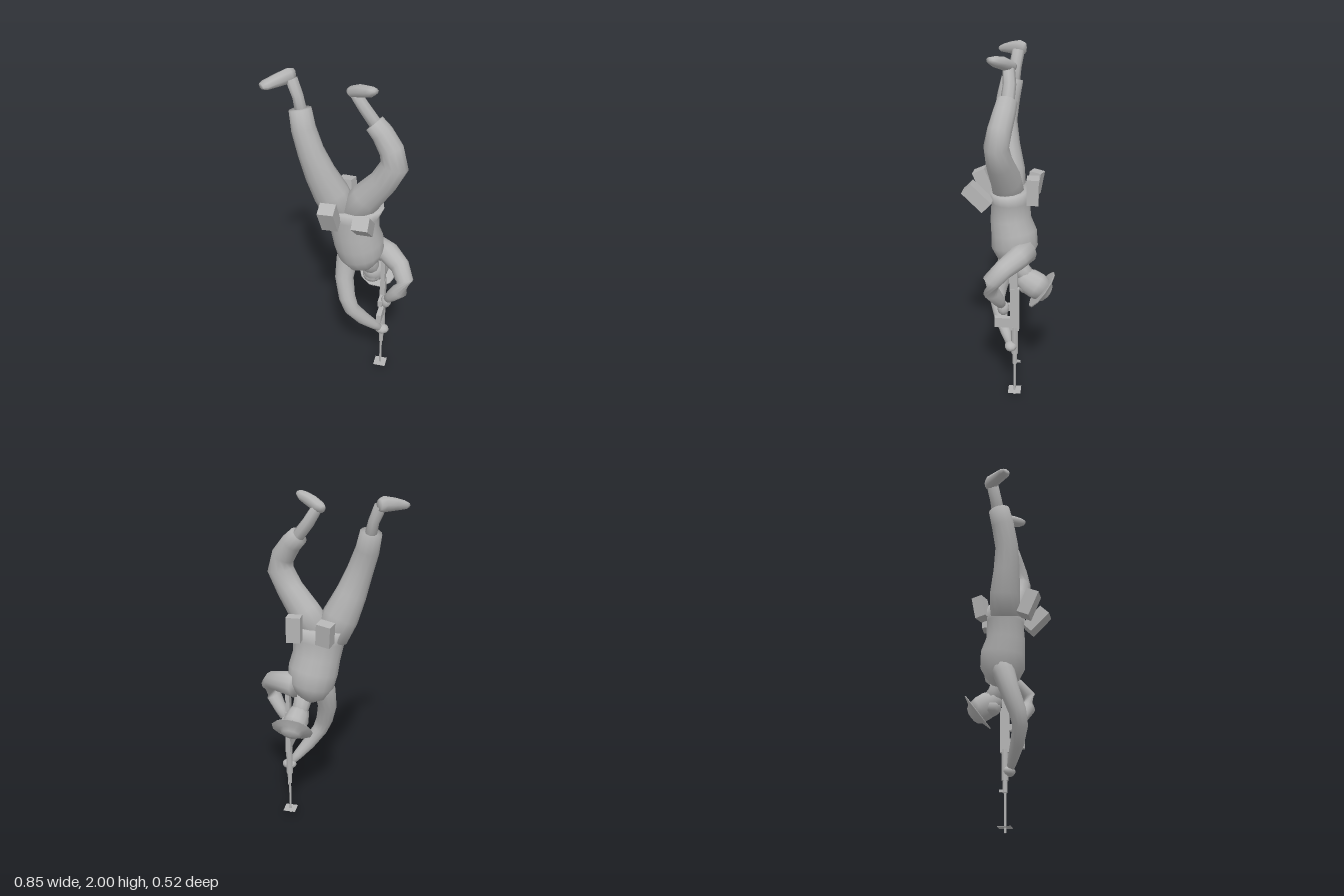
import * as THREE from 'three';

const V = (x, y, z) => new THREE.Vector3(x, y, z);

// Closed skin through elliptical rings [x, y, z, radius along ref, radius across]
function loft(rings, ref, seg = 12) {
  const c = rings.map(r => V(r[0], r[1], r[2]));
  const pos = [], idx = [];
  rings.forEach((r, i) => {
    const t = c[Math.min(i + 1, c.length - 1)].clone().sub(c[Math.max(i - 1, 0)]).normalize();
    const u = ref.clone().addScaledVector(t, -ref.dot(t)).normalize();
    const v = t.clone().cross(u);
    for (let j = 0; j < seg; j++) {
      const a = j / seg * Math.PI * 2;
      const p = c[i].clone().addScaledVector(u, Math.cos(a) * r[3])
        .addScaledVector(v, Math.sin(a) * (r[4] ?? r[3]));
      pos.push(p.x, p.y, p.z);
    }
  });
  const n = rings.length, first = n * seg;
  pos.push(...c[0].toArray(), ...c[n - 1].toArray());
  for (let j = 0; j < seg; j++) {
    const k = (j + 1) % seg;
    for (let i = 0; i < n - 1; i++) {
      const a = i * seg + j, b = i * seg + k;
      idx.push(a, b, a + seg, b, b + seg, a + seg);
    }
    idx.push(first, k, j, first + 1, (n - 1) * seg + j, (n - 1) * seg + k);
  }
  const g = new THREE.BufferGeometry();
  g.setAttribute('position', new THREE.Float32BufferAttribute(pos, 3));
  g.setIndex(idx);
  g.computeVertexNormals();
  return g;
}

export function createModel() {
  const grey = new THREE.MeshStandardMaterial({ color: 0xb4b4b4, side: THREE.DoubleSide });
  grey.name = 'grey';
  const model = new THREE.Group();
  model.name = 'figure';
  const add = (name, geo, p = [0, 0, 0], r = [0, 0, 0], parent = model) => {
    const m = new THREE.Mesh(geo, grey);
    m.name = name;
    m.position.set(...p);
    m.rotation.set(...r);
    parent.add(m);
    return m;
  };
  const X = V(1, 0, 0), Y = V(0, 1, 0), Z = V(0, 0, 1);

  // Jacket, from flared hem to collar
  add('jacket', loft([
    [0.045, 1.25, 0.015, 0.178, 0.112], [0.048, 1.18, 0.01, 0.15, 0.108],
    [0.06, 1.08, 0.01, 0.14, 0.115], [0.075, 1.0, -0.01, 0.146, 0.13],
    [0.09, 0.92, -0.015, 0.138, 0.132], [0.105, 0.86, -0.02, 0.11, 0.1],
    [0.125, 0.825, -0.03, 0.06, 0.06]], X, 16));

  // Trousers
  add('rightLeg', loft([
    [-0.02, 1.2, 0.02, 0.09, 0.1], [-0.075, 1.32, 0.03, 0.09, 0.103],
    [-0.13, 1.45, 0.05, 0.077, 0.087], [-0.175, 1.58, 0.06, 0.068, 0.073],
    [-0.215, 1.7, 0.045, 0.066, 0.066], [-0.236, 1.8, 0.025, 0.062, 0.06]], Z));
  add('leftLeg', loft([
    [0.06, 1.22, 0.02, 0.09, 0.1], [0.13, 1.33, 0.03, 0.085, 0.09],
    [0.22, 1.45, 0.055, 0.073, 0.077], [0.276, 1.56, 0.065, 0.066, 0.076],
    [0.255, 1.64, 0.05, 0.064, 0.066], [0.2, 1.72, 0.03, 0.06, 0.058],
    [0.155, 1.765, 0.02, 0.055, 0.053]], Z));

  // Ankles and boots
  add('rightAnkle', loft([[-0.232, 1.78, 0.02, 0.038, 0.033], [-0.25, 1.86, 0.01, 0.035, 0.03],
    [-0.285, 1.945, -0.005, 0.035, 0.033]], Z, 8));
  add('leftAnkle', loft([[0.17, 1.75, 0.02, 0.038, 0.035], [0.1, 1.84, 0.012, 0.035, 0.033],
    [0.055, 1.915, 0.02, 0.032, 0.03]], Z, 8));
  add('rightBoot', loft([
    [-0.285, 1.957, -0.04, 0.032, 0.02], [-0.3, 1.957, -0.015, 0.042, 0.038],
    [-0.35, 1.948, 0.04, 0.034, 0.036], [-0.395, 1.938, 0.085, 0.024, 0.036],
    [-0.41, 1.936, 0.102, 0.015, 0.025]], Y, 8));
  add('leftBoot', loft([
    [0.018, 1.915, -0.005, 0.02, 0.02], [0.04, 1.922, 0.012, 0.03, 0.036],
    [0.09, 1.945, 0.045, 0.034, 0.036], [0.145, 1.964, 0.085, 0.028, 0.034],
    [0.17, 1.976, 0.105, 0.016, 0.025]], Y, 8));

  // Sleeves and hands
  add('rightArm', loft([
    [0.04, 0.96, -0.02, 0.075], [0.01, 0.85, 0.01, 0.064], [0.003, 0.75, 0.04, 0.056],
    [0.03, 0.63, 0.08, 0.05], [0.06, 0.555, 0.09, 0.045], [0.125, 0.465, 0.06, 0.04],
    [0.185, 0.395, 0.025, 0.03], [0.215, 0.36, 0.008, 0.022]], X));
  add('leftArm', loft([
    [0.16, 0.92, -0.075, 0.075], [0.25, 0.915, -0.04, 0.064], [0.33, 0.885, 0.03, 0.055],
    [0.367, 0.835, 0.085, 0.052], [0.345, 0.755, 0.09, 0.046], [0.295, 0.68, 0.06, 0.036],
    [0.27, 0.64, 0.045, 0.027]], Y));
  const hand = new THREE.SphereGeometry(1, 10, 7);
  add('rightHand', hand, [0.232, 0.343, -0.005]).scale.set(0.044, 0.03, 0.036);
  add('leftHand', hand, [0.258, 0.61, 0.035]).scale.set(0.032, 0.045, 0.034);

  // Neck, head and brimmed helmet share one tilted axis
  add('neck', loft([[0.12, 0.87, -0.02, 0.06], [0.135, 0.79, -0.06, 0.05], [0.145, 0.74, -0.1, 0.05]], X, 10));
  add('head', loft([
    [0.142, 0.765, -0.045, 0.025], [0.143, 0.755, -0.06, 0.052, 0.055],
    [0.148, 0.73, -0.1, 0.067, 0.075], [0.155, 0.705, -0.145, 0.072, 0.078],
    [0.162, 0.68, -0.185, 0.066, 0.07]], X));
  add('face', hand, [0.143, 0.7, -0.09]).scale.set(0.058, 0.05, 0.056);
  const helmet = new THREE.LatheGeometry([[0.118, -0.006], [0.122, 0], [0.07, 0.014],
    [0.055, 0.034], [0.03, 0.045], [0, 0.048]].map(p => new THREE.Vector2(...p)), 11);
  add('helmet', helmet, [0.163, 0.683, -0.178])
    .quaternion.setFromUnitVectors(Y, V(0.03, -0.59, -0.81).normalize());
  const under = new THREE.CircleGeometry(0.118, 11);
  add('helmetLining', under, [0.163, 0.685, -0.175])
    .quaternion.setFromUnitVectors(Z, V(-0.03, 0.59, 0.81).normalize());

  // Belt pouches: position, size, rotation
  [
    ['frontPouchRight', [-0.05, 1.25, 0.167], [0.09, 0.155, 0.075], [0.42, 0, 0.06]],
    ['frontPouchLeft', [0.143, 1.235, 0.185], [0.09, 0.155, 0.075], [0.8, 0, 0.04]],
    ['backPouchRight', [-0.02, 1.265, -0.122], [0.085, 0.13, 0.065], [-0.15, -0.25, 0.08]],
    ['backPouchLeft', [0.155, 1.28, -0.117], [0.08, 0.145, 0.065], [0, 0.03, 0]],
  ].forEach(([name, p, s, r]) => add(name, new THREE.BoxGeometry(...s), p, r));

  // Rifle pointing straight down
  const rifle = new THREE.Group();
  rifle.name = 'rifle';
  rifle.position.set(0.226, 0, -0.027);
  model.add(rifle);
  const bar = (name, r, y0, y1) =>
    add(name, new THREE.CylinderGeometry(r, r, y1 - y0, 8), [0, (y0 + y1) / 2, 0], [0, 0, 0], rifle);
  const block = (name, w, y0, y1, z0, z1) =>
    add(name, new THREE.BoxGeometry(w, y1 - y0, z1 - z0), [0, (y0 + y1) / 2, (z0 + z1) / 2], [0, 0, 0], rifle);
  bar('barrel', 0.007, 0, 0.3);
  bar('gasTube', 0.014, 0.22, 0.32);
  bar('handguard', 0.02, 0.29, 0.47);
  block('receiver', 0.03, 0.45, 0.72, -0.026, 0.026);
  block('stock', 0.024, 0.7, 0.88, -0.016, 0.03);
  block('magazine', 0.03, 0.47, 0.53, 0.02, 0.115);
  block('grip', 0.026, 0.58, 0.62, 0.02, 0.09);
  block('frontSight', 0.008, 0.225, 0.24, -0.034, 0);
  add('muzzlePlate', new THREE.BoxGeometry(0.075, 0.002, 0.075), [0, 0.03, 0], [0, 0, 0], rifle);

  return model;
}
